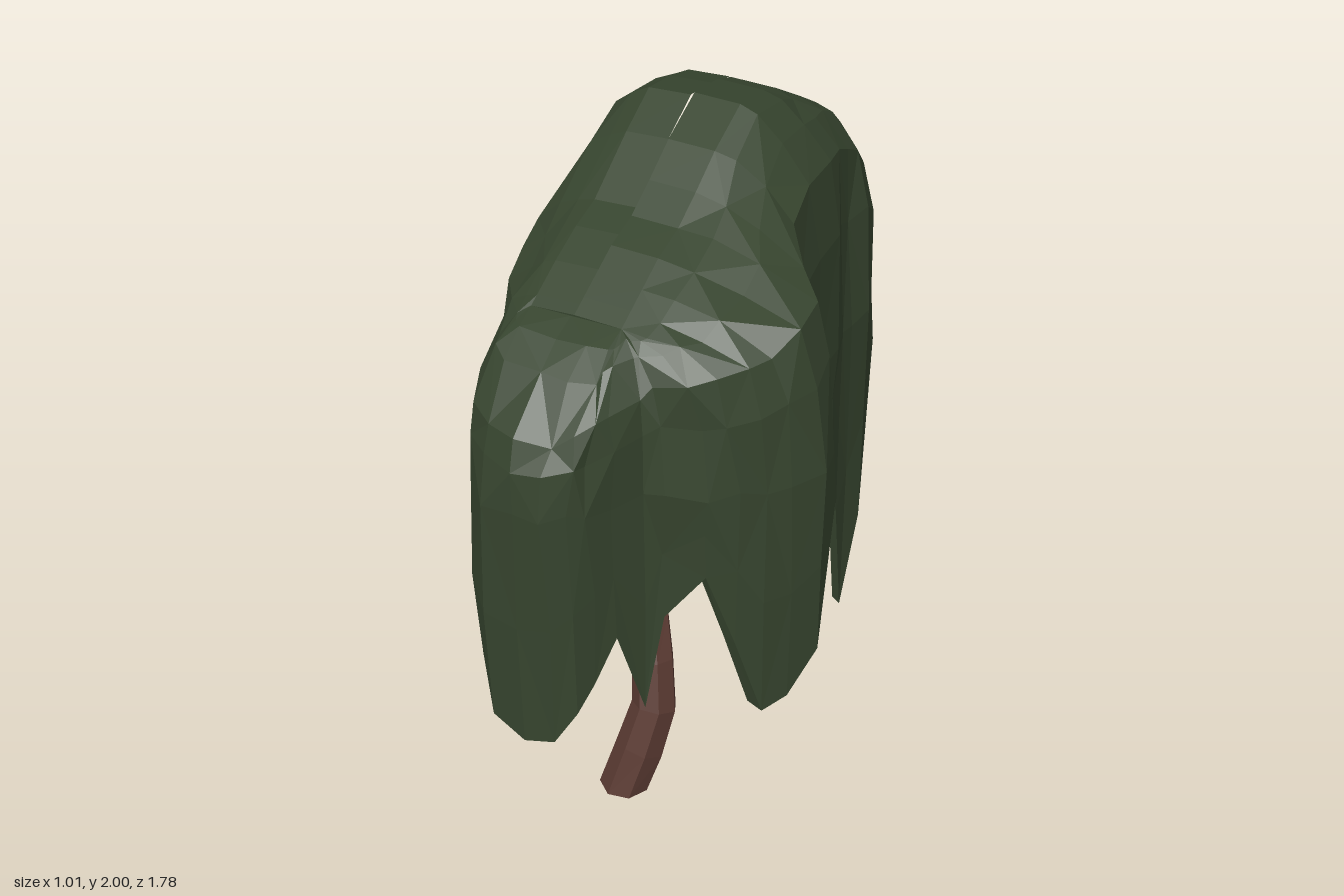
import * as THREE from 'three';

const leaf = new THREE.MeshStandardMaterial({ color: 0x36442e, flatShading: true });
leaf.name = 'dark leaf green';
const bark = new THREE.MeshStandardMaterial({ color: 0x5a3a32, flatShading: true });
bark.name = 'reddish bark';

// Canopy plan, counterclockwise from the back: x, z, height of the hanging hem
const hem = [
  [-0.1, -0.89, 0.84], [-0.16, -0.89, 0.54], [-0.26, -0.87, 0.53], [-0.33, -0.84, 0.8],
  [-0.41, -0.72, 0.93], [-0.46, -0.6, 0.86],
  [-0.47, -0.5, 0.5], [-0.46, -0.41, 0.24], [-0.46, -0.33, 0.18], [-0.48, -0.22, 0.32],
  [-0.5, -0.1, 0.74], [-0.51, 0.03, 0.7], [-0.5, 0.21, 0.29], [-0.48, 0.31, 0.25],
  [-0.44, 0.42, 0.55], [-0.41, 0.52, 0.78], [-0.37, 0.7, 0.8], [-0.33, 0.8, 0.64],
  [-0.26, 0.87, 0.5], [-0.15, 0.89, 0.46], [-0.06, 0.88, 0.48], [0.0, 0.85, 0.58],
  [0.03, 0.8, 0.66], [0.07, 0.74, 0.79], [0.11, 0.66, 0.51], [0.16, 0.63, 0.82], [0.27, 0.59, 0.96],
  [0.34, 0.55, 0.74], [0.4, 0.5, 0.49], [0.45, 0.44, 0.52], [0.5, 0.35, 0.64],
  [0.48, 0.24, 0.93], [0.4, 0.14, 0.96], [0.29, 0.03, 0.95], [0.26, -0.12, 0.95],
  [0.25, -0.26, 0.9], [0.23, -0.34, 0.6], [0.22, -0.41, 0.2], [0.24, -0.49, 0.5],
  [0.2, -0.62, 0.88], [0.13, -0.76, 0.93], [0.01, -0.86, 0.9],
];
// Heights along z of the ridge and of the shoulder
const ridge = [[-0.5, 1.87], [-0.3, 1.98], [-0.1, 2.0], [0.1, 1.88], [0.2, 1.8], [0.35, 1.75], [0.55, 1.64]];
const shoulder = [[-0.88, 1.4], [-0.72, 1.58], [-0.5, 1.76], [-0.2, 1.82], [0.05, 1.73], [0.3, 1.65], [0.6, 1.54], [0.9, 1.41]];

const { lerp, clamp } = THREE.MathUtils;

function heightAt(table, z) {
  if (z <= table[0][0]) return table[0][1];
  for (let i = 1; i < table.length; i++) {
    const [z0, y0] = table[i - 1], [z1, y1] = table[i];
    if (z <= z1) return lerp(y0, y1, (z - z0) / (z1 - z0));
  }
  return table[table.length - 1][1];
}

function seeded(seed) {
  return () => {
    seed = (seed * 16807) % 2147483647;
    return seed / 2147483647 - 0.5;
  };
}

// Closed shell: deep hollow, thin hanging curtains, walls and a broad domed top
function canopyGeometry() {
  const rand = seeded(77);
  const n = hem.length;
  const columns = hem.map(([x, z, low]) => {
    const sx = clamp(x, -0.27, 0), sz = clamp(z, -0.5, 0.55);
    const top = heightAt(ridge, sz), s = heightAt(shoulder, z);
    // [share of the way to the crown edge, height, roughness]
    const profile = [
      [0.25, 1.25, 0], [0.14, low + 0.02, 0], [0.03, low, 0],
      [0.01, lerp(low, 1.22, 0.5), 0.02], [0, 1.22, 0.02],
      [0.07, lerp(1.22, s, 0.62), 0.02], [0.17, s, 0.025],
      [0.5, lerp(s, top, 0.62), 0.02], [0.78, lerp(s, top, 0.86), 0.008], [1, top - 0.005, 0],
    ];
    const ring = profile.map(([t, y, j]) => [
      lerp(x, sx, t) + rand() * j, y + rand() * j * 1.5, lerp(z, sz, t) + rand() * j,
    ]);
    return [[-0.14, 1.4, sz], ...ring, [-0.14, top, sz]];
  });
  const rows = columns[0].length;
  const index = [];
  for (let i = 0; i < n; i++) {
    const next = (i + 1) % n;
    for (let k = 0; k < rows - 1; k++) {
      const a = i * rows + k, b = next * rows + k;
      if ((i + k) % 2) index.push(a, b, b + 1, a, b + 1, a + 1);
      else index.push(a, b, a + 1, b, b + 1, a + 1);
    }
  }
  const geo = new THREE.BufferGeometry();
  geo.setAttribute('position', new THREE.Float32BufferAttribute(columns.flat(2), 3));
  geo.setIndex(index);
  geo.computeVertexNormals();
  return geo;
}

// Tapered limb through the given points
function limb(name, points, r0, r1, grounded = false) {
  const curve = new THREE.CatmullRomCurve3(points.map((p) => new THREE.Vector3(...p)));
  const segments = points.length + 1, sides = 7;
  const geo = new THREE.TubeGeometry(curve, segments, 1, sides, false);
  const pos = geo.attributes.position, v = new THREE.Vector3();
  for (let i = 0; i < pos.count; i++) {
    const t = Math.floor(i / (sides + 1)) / segments;
    const c = curve.getPointAt(t);
    v.fromBufferAttribute(pos, i).sub(c).multiplyScalar(lerp(r0, r1, t)).add(c);
    if (grounded && t === 0) v.y = 0;
    pos.setXYZ(i, v.x, v.y, v.z);
  }
  geo.computeVertexNormals();
  const mesh = new THREE.Mesh(geo, bark);
  mesh.name = name;
  return mesh;
}

export function createModel() {
  const model = new THREE.Group();
  model.name = 'weepingTree';

  const canopy = new THREE.Mesh(canopyGeometry(), leaf);
  canopy.name = 'canopy';
  model.add(canopy);

  // Leaning trunk and its branches
  model.add(
    limb('trunk', [[-0.09, 0, 0.445], [-0.025, 0.28, 0.365], [-0.075, 0.5, 0.3], [-0.11, 0.64, 0.2]], 0.079, 0.052, true),
    limb('frontBranch', [[-0.09, 0.53, 0.28], [-0.12, 0.68, 0.33], [-0.15, 1.3, 0.36]], 0.052, 0.03),
    limb('backBranch', [[-0.095, 0.58, 0.25], [-0.13, 0.74, 0.04], [-0.18, 0.84, -0.24], [-0.24, 1.3, -0.58]], 0.054, 0.028),
    limb('upperBranch', [[-0.13, 0.72, 0.04], [-0.16, 0.88, 0.01], [-0.2, 1.35, -0.06]], 0.042, 0.03),
  );

  const base = new THREE.Mesh(new THREE.CircleGeometry(0.077, 7), bark);
  base.name = 'trunkBase';
  base.rotation.x = Math.PI / 2;
  base.position.set(-0.09, 0.001, 0.445);
  model.add(base);

  return model;
}
